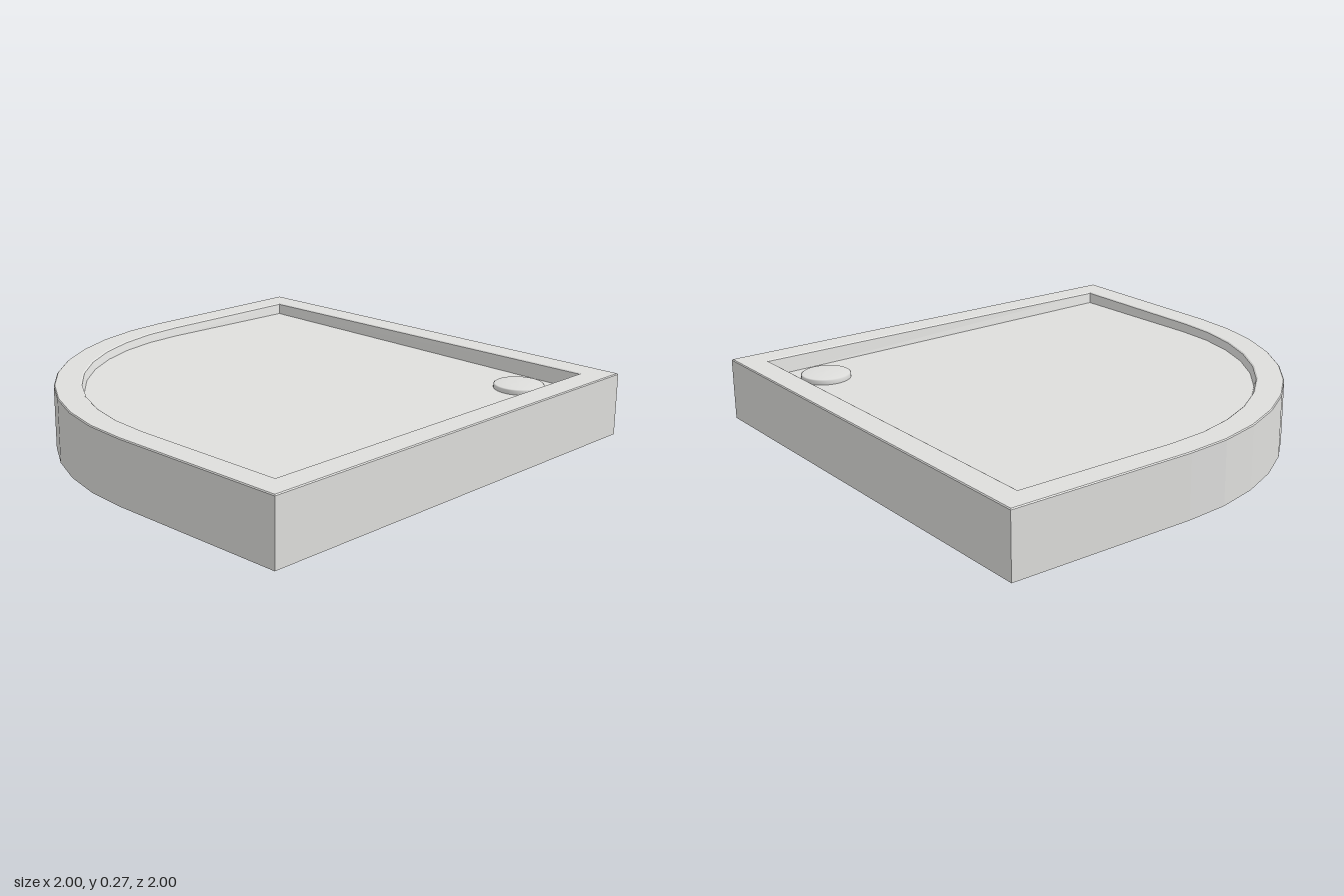
import * as THREE from 'three';

const ARC_STEPS = 10;
const CEILING = 0.13; // height of the hollow underneath
const DRAIN = { x: 0.71, z: -0.71 };

// Floor falls gently towards the drain corner
const floorY = (x, z) => 0.218 - 0.012 * (x - z);

// Quadrant outline as [x, z] pairs, moved inwards by d
function outline(d) {
  const e = 1 - d, r = 1.2 - d;
  const pts = [[e, -e], [-e, -e]];
  for (let i = 0; i <= ARC_STEPS; i++) {
    const a = (i / ARC_STEPS) * Math.PI / 2;
    pts.push([0.2 - r * Math.cos(a), -0.2 + r * Math.sin(a)]);
  }
  pts.push([e, e]);
  return pts;
}

// Ring of 3D points; y is a height or a function of x and z
const ring = ([d, y]) => outline(d).map(([x, z]) =>
  [x, typeof y === 'function' ? y(x, z) : y, z]);

function fromTriangles(tris) {
  const g = new THREE.BufferGeometry();
  g.setAttribute('position', new THREE.Float32BufferAttribute(tris.flat(), 3));
  g.computeVertexNormals();
  return g;
}

// Skin joining successive rings of a [inset, height] profile
function skin(profile) {
  const tris = [];
  const rings = profile.map(ring);
  for (let k = 0; k < rings.length - 1; k++) {
    const a = rings[k], b = rings[k + 1], n = a.length;
    for (let j = 0; j < n; j++) {
      const m = (j + 1) % n;
      tris.push(a[j], a[m], b[m], a[j], b[m], b[j]);
    }
  }
  return fromTriangles(tris);
}

// Flat cap over one ring, facing up or down
function cap(d, y, up) {
  const p = ring([d, y]), tris = [];
  for (let i = 1; i < p.length - 1; i++) {
    tris.push(p[0], ...(up ? [p[i], p[i + 1]] : [p[i + 1], p[i]]));
  }
  return fromTriangles(tris);
}

export function createModel() {
  const group = new THREE.Group();
  const material = (name, color) => {
    const m = new THREE.MeshStandardMaterial({ color });
    m.name = name;
    return m;
  };
  const white = material('white acrylic', 0xdededc);
  const beige = material('beige backing', 0xddd5b8);
  const black = material('black drain', 0x1c1c1c);

  const add = (name, geometry, mat) => {
    const mesh = new THREE.Mesh(geometry, mat);
    mesh.name = name;
    group.add(mesh);
    return mesh;
  };

  // Outer wall, rim and inner lip
  add('trayShell', skin([
    [0.035, 0], [0, 0], [0, 0.262], [0.004, 0.266], [0.107, 0.266],
    [0.113, 0.262], [0.122, floorY],
  ]), white);
  add('trayFloor', cap(0.122, floorY, true), white);

  // Hollow underside
  add('innerWall', skin([[0.035, CEILING], [0.035, 0]]), beige);
  add('undersideCeiling', cap(0.035, CEILING, false), beige);

  // Base block with a round bite taken out around the drain
  const inset = 0.115, r = 0.32, e = 1 - inset;
  const side = e - DRAIN.x, reach = Math.sqrt(r * r - side * side);
  const shape = new THREE.Shape();
  shape.moveTo(DRAIN.x - reach, e);
  outline(inset).slice(1).forEach(([x, z]) => shape.lineTo(x, -z));
  shape.lineTo(e, -DRAIN.z - reach);
  shape.absarc(DRAIN.x, -DRAIN.z, r,
    Math.atan2(-reach, side), Math.atan2(side, -reach) - 2 * Math.PI, true);
  const base = new THREE.ExtrudeGeometry(shape,
    { depth: CEILING - 0.005, bevelEnabled: false, curveSegments: 24 });
  base.rotateX(-Math.PI / 2);
  add('baseBlock', base, white).position.y = 0.004;

  // Drain cover and the outlet below it
  const coverProfile = [[0.1, 0], [0.105, 0.005], [0.105, 0.029], [0.1, 0.033], [0.05, 0.036], [0, 0.037]]
    .map(([x, y]) => new THREE.Vector2(x, y));
  add('drainCover', new THREE.LatheGeometry(coverProfile, 40), white)
    .position.set(DRAIN.x, 0.19, DRAIN.z);
  add('drainOutlet', new THREE.CylinderGeometry(0.083, 0.083, 0.006, 32), black)
    .position.set(DRAIN.x, CEILING - 0.001, DRAIN.z);

  return group;
}
